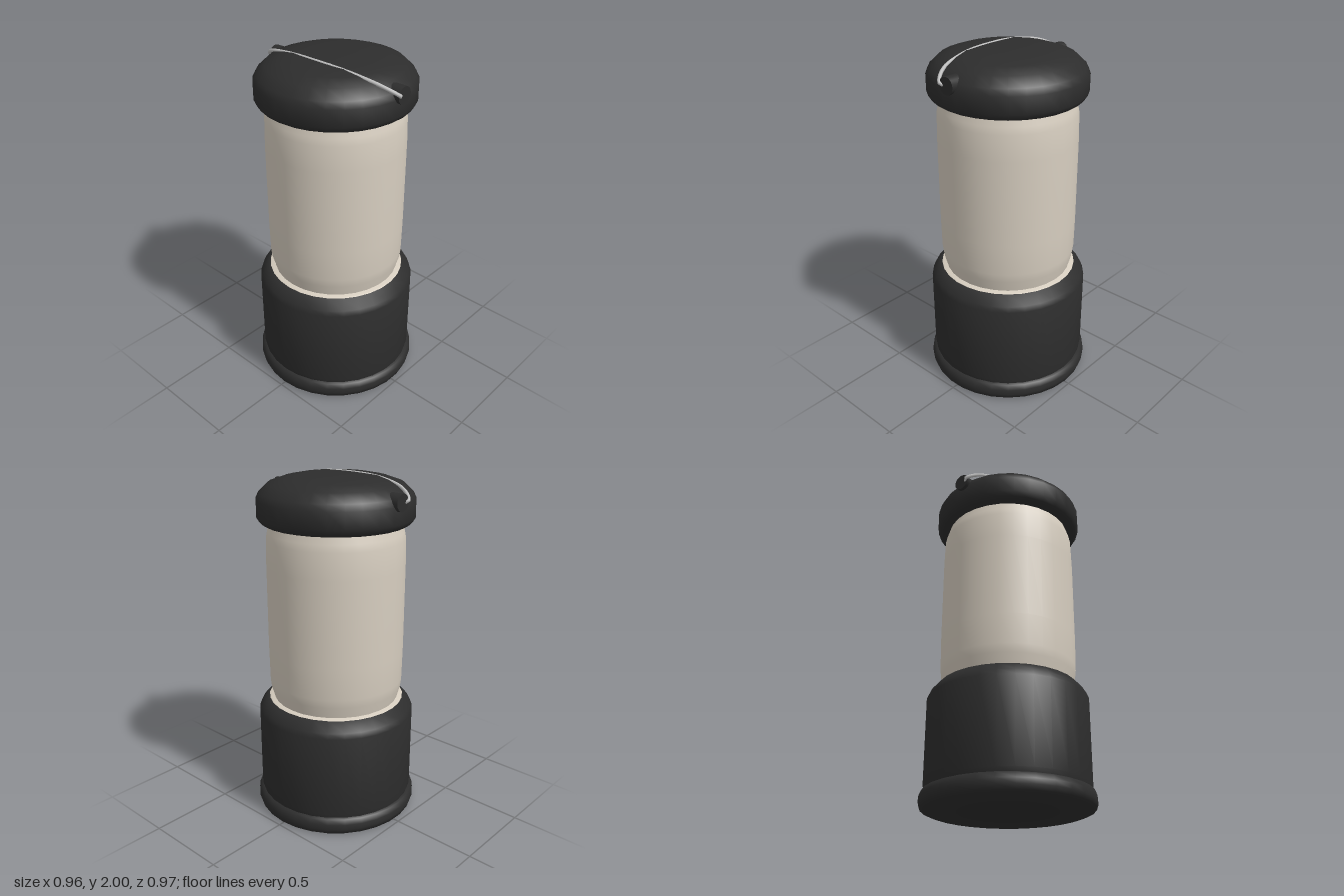
import * as THREE from 'three';
import { toCreasedNormals } from 'three/addons/utils/BufferGeometryUtils.js';

const material = (name, color) => {
  const m = new THREE.MeshStandardMaterial({ color });
  m.name = name;
  return m;
};

export function createModel() {
  const group = new THREE.Group();
  group.name = 'lantern';
  const black = material('black plastic', 0x2d2d2d);
  const cream = material('frosted cream', 0xd6cdbf);
  const steel = material('steel wire', 0xbdbdbd);

  const add = (name, geometry, mat) => {
    const mesh = new THREE.Mesh(geometry, mat);
    mesh.name = name;
    group.add(mesh);
    return mesh;
  };
  // Turned part from a [radius, height] profile, listed bottom to top
  const turned = (name, profile, mat) => {
    const points = profile.map(([r, y]) => new THREE.Vector2(r, y));
    return add(name, toCreasedNormals(new THREE.LatheGeometry(points, 30), 0.95), mat);
  };

  // Rounded foot ring with closed underside
  turned('foot', [[0, 0], [0.445, 0], [0.475, 0.012], [0.484, 0.04], [0.482, 0.07],
    [0.47, 0.1], [0.45, 0.108], [0, 0.108]], black);

  // Battery housing with a sloped shoulder
  turned('base', [[0.455, 0.1], [0.462, 0.13], [0.462, 0.615], [0.45, 0.645],
    [0.405, 0.698], [0.36, 0.7], [0, 0.7]], black);

  // Pale seat below the shade
  turned('shadeSeat', [[0.4, 0.698], [0.39, 0.703], [0, 0.703]], cream);

  // Frosted shade, tapered at both ends
  turned('shade', [[0.367, 0.69], [0.37, 0.71], [0.387, 0.77], [0.393, 0.82], [0.396, 1.0],
    [0.396, 1.5], [0.392, 1.65], [0.384, 1.69], [0.37, 1.735], [0.365, 1.76]], cream);

  // Domed cap
  turned('cap', [[0, 1.735], [0.405, 1.735], [0.425, 1.748], [0.442, 1.775], [0.442, 1.87],
    [0.425, 1.905], [0.375, 1.952], [0.3, 1.978], [0.225, 1.993], [0.12, 1.996], [0, 1.998]], black);

  // Pivot knobs on either side of the cap
  for (const side of [1, -1]) {
    const knob = add(side > 0 ? 'leftKnob' : 'rightKnob',
      toCreasedNormals(new THREE.CylinderGeometry(0.048, 0.048, 0.09, 16), 0.6), black);
    knob.rotation.z = Math.PI / 2;
    knob.position.set(side * 0.415, 1.892, 0);
  }

  // Wire handle folded forward against the cap
  const half = [[0.44, 1.888, 0.025], [0.466, 1.897, 0.035], [0.445, 1.918, 0.06],
    [0.37, 1.952, 0.098], [0.22, 1.98, 0.127], [0.1, 1.989, 0.137]];
  const path = [
    ...half.map(([x, y, z]) => new THREE.Vector3(-x, y, z)),
    new THREE.Vector3(0, 1.99, 0.139),
    ...half.slice().reverse().map((p) => new THREE.Vector3(...p)),
  ];
  add('handle', new THREE.TubeGeometry(new THREE.CatmullRomCurve3(path), 60, 0.01, 8), steel);

  return group;
}
